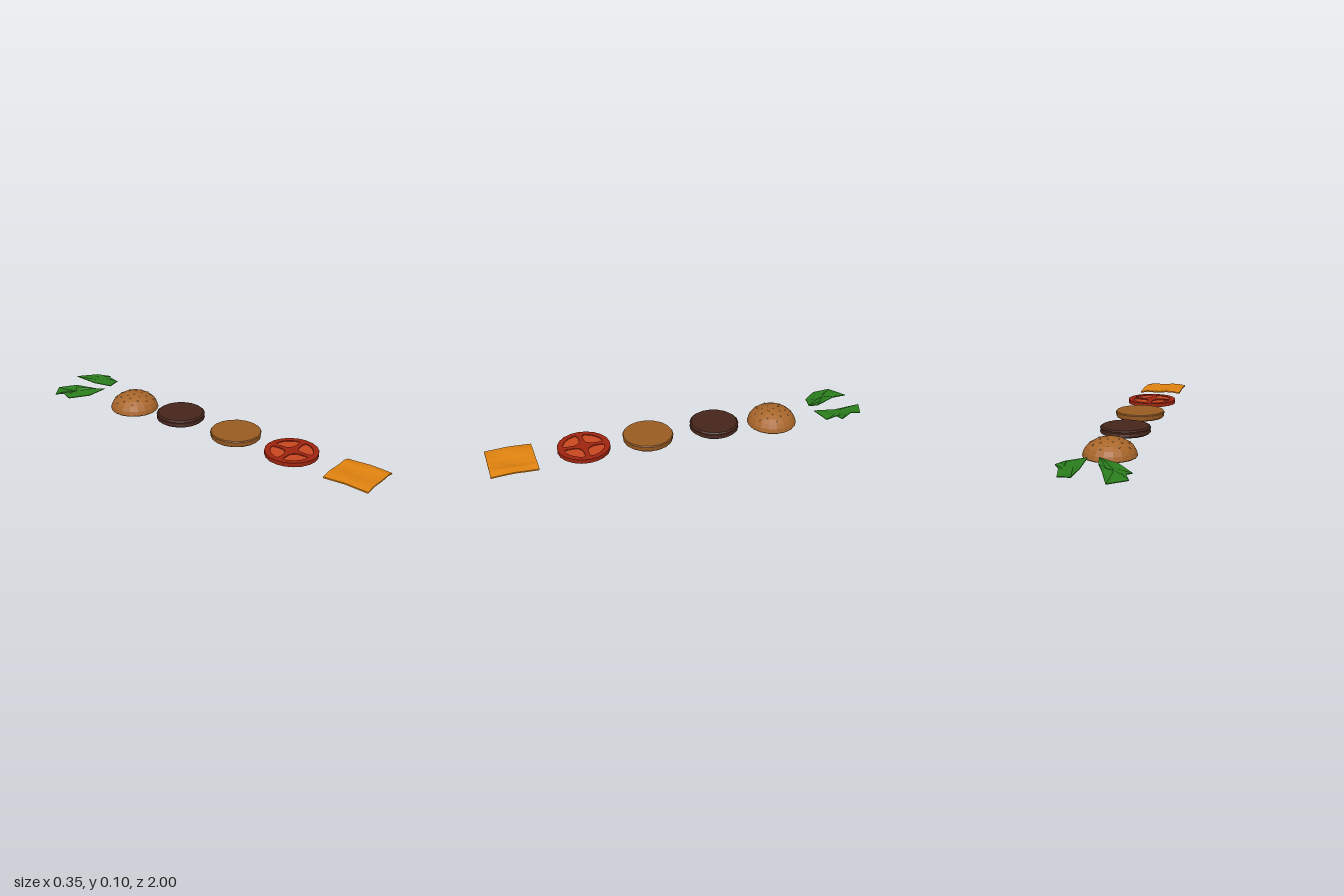
import * as THREE from 'three';

const V2 = (x, y) => new THREE.Vector2(x, y);
const mat = (color, extra = {}) => new THREE.MeshStandardMaterial({ color, flatShading: true, ...extra });
const BUN = mat(0xa8662a), CUT = mat(0x9a5c22), PATTY = mat(0x45251b), SEED = mat(0xcf9a58);
const SKIN = mat(0x9e2410), FLESH = mat(0xc9481f), CHEESE = mat(0xdf820f);
const LEAF = mat(0x2a7c1c, { side: THREE.DoubleSide });
const CX = 0.008; // shared centre line of the round parts

function add(parent, name, geometry, material, x = 0, y = 0, z = 0) {
  const mesh = new THREE.Mesh(geometry, material);
  mesh.name = name;
  mesh.position.set(x, y, z);
  parent.add(mesh);
  return mesh;
}

// Faceted round part from [radius, height] pairs
const turned = (profile) => new THREE.LatheGeometry(profile.map(([r, y]) => V2(r, y)), 18);

// Domed bun half with seeds scattered in a spiral
function topBun() {
  const group = new THREE.Group();
  group.name = 'topBun';
  group.position.set(CX, 0, -0.507);
  const dome = [[0.128, 0.002], [0.131, 0.006], [0.125, 0.028], [0.112, 0.05], [0.09, 0.068], [0.062, 0.083], [0.03, 0.092], [0, 0.095]];
  add(group, 'dome', turned([[0, 0.001], ...dome]), BUN);
  const seed = new THREE.SphereGeometry(1, 6, 4);
  for (let i = 0; i < 26; i++) {
    const r = 0.108 * Math.sqrt((i + 0.5) / 26), a = i * 2.4;
    const k = dome.findIndex(([pr]) => pr <= r);
    const [r0, y0] = dome[k - 1], [r1, y1] = dome[k];
    const y = y0 + (y1 - y0) * (r - r0) / (r1 - r0);
    const normal = new THREE.Vector3((y1 - y0) * Math.cos(a), r0 - r1, (y1 - y0) * Math.sin(a)).normalize();
    const mesh = add(group, 'seed', seed, SEED, r * Math.cos(a), y, r * Math.sin(a));
    mesh.scale.set(0.0035, 0.003, 0.0055);
    mesh.quaternion.setFromUnitVectors(new THREE.Vector3(0, 1, 0), normal);
    mesh.rotateY(i * 1.7);
  }
  return group;
}

// Horizontal slab extruded from a shape drawn in the x-z plane
function slab(shape, depth) {
  return new THREE.ExtrudeGeometry(shape, { depth, bevelEnabled: false, curveSegments: 20 }).rotateX(-Math.PI / 2);
}

// Tomato slice: skin and cross-shaped walls around four sunken wedges
function tomato() {
  const group = new THREE.Group();
  group.name = 'tomatoSlice';
  group.position.set(CX, 0.037, 0.519);
  const disc = new THREE.Shape();
  for (let i = 0; i < 20; i++) {
    const a = i * Math.PI / 10;
    disc[i ? 'lineTo' : 'moveTo'](0.134 * Math.cos(a), 0.134 * Math.sin(a));
  }
  const wedge = [[0.02, 0.03], [0.013, 0.045], [0.012, 0.085], [0.018, 0.101], [0.032, 0.1], [0.056, 0.089], [0.074, 0.074],
    [0.089, 0.056], [0.1, 0.032], [0.101, 0.018], [0.085, 0.012], [0.045, 0.013], [0.03, 0.02]];
  for (let q = 0; q < 4; q++) {
    const points = wedge.map(([x, y]) => V2(x, y).rotateAround(V2(0, 0), q * Math.PI / 2));
    disc.holes.push(new THREE.Path(points));
    add(group, 'wedge', slab(new THREE.Shape(points), 0.013), FLESH, 0, 0.004, 0);
  }
  add(group, 'skin', slab(disc, 0.021), SKIN);
  return group;
}

// Thin square sheet bent into gentle waves
function cheese() {
  const size = 0.235, geometry = new THREE.BoxGeometry(size, 0.007, size, 6, 1, 4);
  const wave = [0.047, 0.052, 0.05, 0.045, 0.045, 0.05, 0.043];
  const p = geometry.attributes.position;
  for (let i = 0; i < p.count; i++) {
    const column = Math.round((p.getX(i) / size + 0.5) * 6);
    const along = p.getZ(i) / size;
    p.setY(i, p.getY(i) + wave[column] + 0.003 * Math.cos(along * Math.PI * 2 + column));
  }
  geometry.computeVertexNormals();
  return geometry;
}

// Crumpled leaf: centre, middle ring and outer edge, given a thin body
function leaf(outline) {
  const n = outline.length, half = 0.002;
  const c = [0, 1, 2].map((k) => outline.reduce((s, p) => s + p[k], 0) / n);
  const mid = outline.map((p, i) => p.map((v, k) => (v + c[k]) / 2 + (k === 1 ? (i % 2 ? 0.006 : -0.005) : 0)));
  const out = [];
  const tri = (a, b, d) => {
    for (const [x, y, z] of [a, b, d]) out.push(x, y + half, z);
    for (const [x, y, z] of [a, d, b]) out.push(x, y - half, z);
  };
  for (let i = 0; i < n; i++) {
    const j = (i + 1) % n, [a, b] = [outline[i], outline[j]];
    tri(c, mid[j], mid[i]);
    tri(mid[i], mid[j], b);
    tri(mid[i], b, a);
    const at = (p, s) => [p[0], p[1] + s * half, p[2]];
    out.push(...at(a, 1), ...at(b, 1), ...at(b, -1), ...at(a, 1), ...at(b, -1), ...at(a, -1));
  }
  const geometry = new THREE.BufferGeometry();
  geometry.setAttribute('position', new THREE.Float32BufferAttribute(out, 3));
  geometry.computeVertexNormals();
  return geometry;
}

export function createModel() {
  const model = new THREE.Group();
  model.name = 'burgerIngredients';

  add(model, 'cheeseSlice', cheese(), CHEESE, 0.007, 0, 0.8825);
  model.add(tomato());

  // Flat bun half and meat patty
  add(model, 'bottomBun', turned([[0, 0.031], [0.122, 0.031], [0.128, 0.036], [0.131, 0.06], [0.127, 0.065], [0, 0.066]]), CUT, CX, 0, 0.183);
  add(model, 'patty', turned([[0, 0.031], [0.119, 0.031], [0.128, 0.038], [0.125, 0.05], [0.128, 0.062], [0.119, 0.069], [0, 0.069]]), PATTY, CX, 0, -0.178);
  model.add(topBun());

  // Two torn lettuce leaves
  add(model, 'leftLettuce', leaf([
    [0.055, 0.044, -1], [0.124, 0.034, -0.976], [0.135, 0.052, -0.913], [0.171, 0.046, -0.844],
    [0.145, 0.054, -0.823], [0.145, 0.042, -0.765], [0.055, 0.053, -0.733], [0.057, 0.038, -0.86]]), LEAF);
  add(model, 'rightLettuce', leaf([
    [-0.092, 0.024, -1], [-0.05, 0.05, -0.9], [-0.007, 0.044, -0.786], [0.003, 0.056, -0.728], [-0.092, 0.04, -0.755],
    [-0.171, 0.028, -0.84], [-0.156, 0.04, -0.9], [-0.177, 0.027, -0.94]]), LEAF);
  return model;
}
